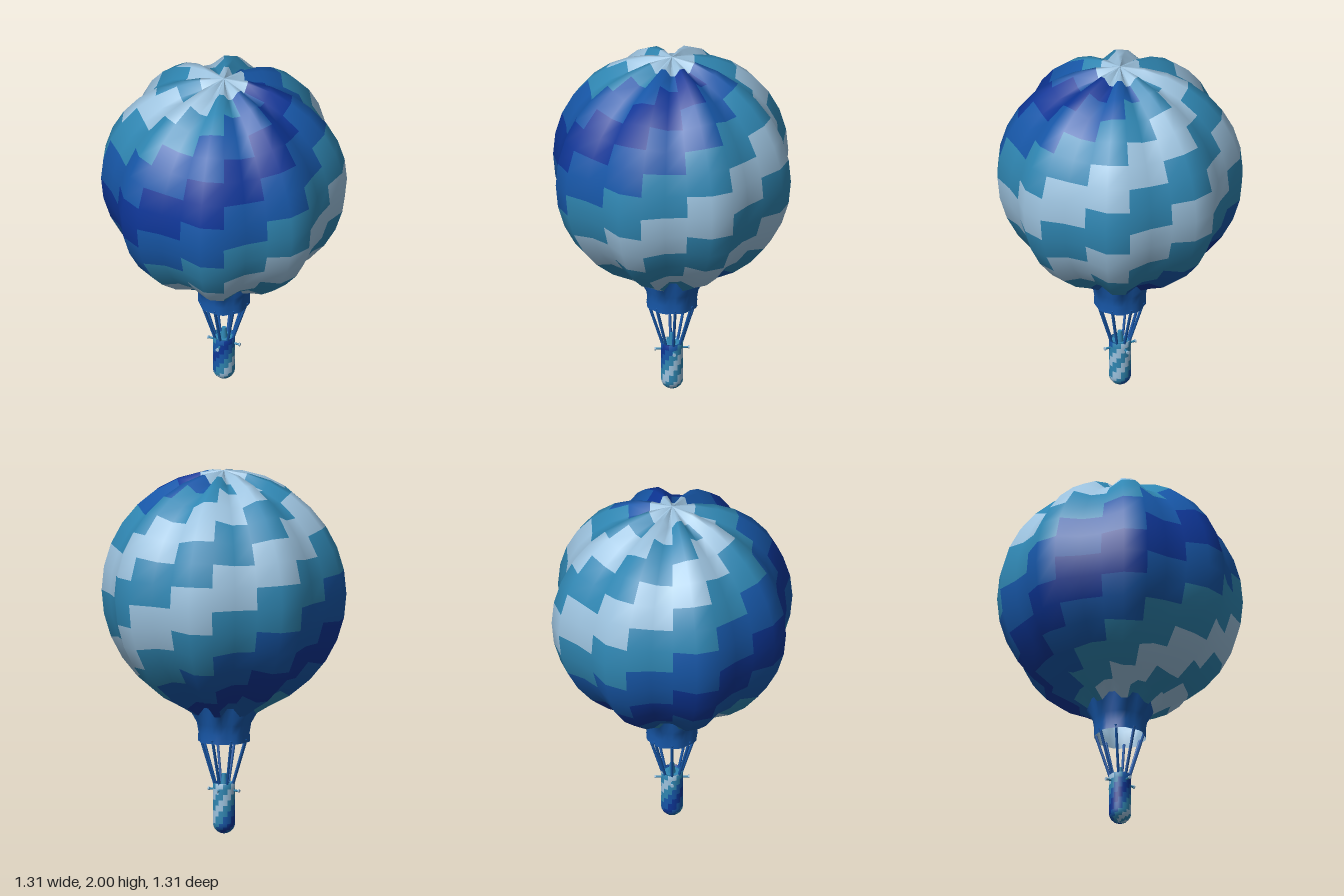
import * as THREE from 'three';

const LIGHT = 0x9cc2de, TEAL = 0x2f86b2, MID = 0x1757a8, DARK = 0x0d3596;
const BANDS = [DARK, MID, TEAL, LIGHT, TEAL, LIGHT, TEAL, MID];
const SEG = 32;
const mat = (color, side = THREE.DoubleSide) => new THREE.MeshStandardMaterial({ color, side });

// Staircase pattern: bands two columns wide, moving one column per row
const bandColor = (row, col) => BANDS[Math.floor(((((col - 7 + row + 2) % 16) + 16) % 16) / 2)];

// Skin through rings [radius, height]; ripple(ring, angle) shifts them; one mesh per colour
function panelSkin(name, rings, ripple, colorAt, side) {
  const group = new THREE.Group();
  group.name = name;
  const pos = [], all = [], byColor = new Map();
  rings.forEach((ring, i) => {
    for (let s = 0; s < SEG; s++) {
      const t = (s / SEG) * Math.PI * 2;
      const [r, y] = ripple(ring, t, i);
      pos.push(r * Math.sin(t), y, r * Math.cos(t));
    }
  });
  for (let i = 0; i < rings.length - 1; i++) {
    for (let s = 0; s < SEG; s++) {
      const a = i * SEG + s, b = i * SEG + (s + 1) % SEG, c = a + SEG, d = b + SEG;
      const color = colorAt(i, Math.floor(s / 2));
      if (!byColor.has(color)) byColor.set(color, []);
      byColor.get(color).push(a, c, b, b, c, d);
      all.push(a, c, b, b, c, d);
    }
  }
  // Normals come from the whole skin so shading runs across colour edges
  const whole = new THREE.BufferGeometry();
  whole.setAttribute('position', new THREE.Float32BufferAttribute(pos, 3));
  whole.setIndex(all);
  whole.computeVertexNormals();
  for (const [color, index] of byColor) {
    const geo = new THREE.BufferGeometry();
    geo.setAttribute('position', whole.attributes.position);
    geo.setAttribute('normal', whole.attributes.normal);
    geo.setIndex(index);
    const mesh = new THREE.Mesh(geo, mat(color, side));
    mesh.name = name + 'Panels';
    group.add(mesh);
  }
  return group;
}

// Straight round bar between two points
function bar(name, from, to, radius, color) {
  const dir = to.clone().sub(from);
  const mesh = new THREE.Mesh(new THREE.CylinderGeometry(radius, radius, dir.length(), 6), mat(color));
  mesh.position.copy(from).add(to).multiplyScalar(0.5);
  mesh.quaternion.setFromUnitVectors(new THREE.Vector3(0, 1, 0), dir.normalize());
  mesh.name = name;
  return mesh;
}

export function createModel() {
  const model = new THREE.Group();
  model.name = 'hotAirBalloon';
  const centreY = 1.33, R = 0.645;
  const lobe = t => Math.cos(8 * t + Math.PI * 1.25);

  // Envelope: lobed ball
  const rings = [[0, 2]];
  for (let k = 7; k >= -6; k--) {
    const lat = k * Math.PI / 16;
    rings.push([R * Math.cos(lat), centreY + R * Math.sin(lat)]);
  }
  rings.push([0.175, 0.69]);
  const ballRipple = ([r, y], t, i) => {
    if (i === 0) return [r, y];
    const s = 1 + 0.049 * lobe(t);
    return [r * s, centreY + (y - centreY) * s];
  };
  model.add(panelSkin('envelope', rings, ballRipple, (i, c) => (i === 0 ? LIGHT : bandColor(i, c))));

  // Neck: starts on the scalloped lower edge and becomes round; light lining inside
  const neck = [[0.175, 0.69], [0.145, 0.61], [0.137, 0.56], [0.139, 0.51]];
  const neckRipple = (ring, t, i) => (i === 0 ? ballRipple(ring, t, 1)
    : [ring[0] * (1 + 0.03 * lobe(t)), ring[1]]);
  model.add(panelSkin('neck', neck, neckRipple, () => MID, THREE.FrontSide));
  model.add(panelSkin('neckLining', neck, neckRipple, () => LIGHT, THREE.BackSide));

  // Basket: capsule with the same pattern
  const basketR = 0.061;
  const hull = [[basketR - 0.01, 0.262], [basketR - 0.008, 0.28], [basketR, 0.28]];
  for (let y = 0.25; y > 0.08; y -= 0.03) hull.push([basketR, y]);
  for (let k = 0; k <= 5; k++) {
    const a = k * Math.PI / 10;
    hull.push([basketR * Math.cos(a), basketR * (1 - Math.sin(a))]);
  }
  model.add(panelSkin('basket', hull, ring => ring, (i, c) => bandColor(i + 2, c)));

  const deck = new THREE.Mesh(new THREE.CylinderGeometry(0.053, 0.053, 0.01, SEG), mat(TEAL));
  deck.position.y = 0.264;
  deck.name = 'basketDeck';
  model.add(deck);

  // Burner on the deck
  const burner = new THREE.Mesh(new THREE.CylinderGeometry(0.012, 0.02, 0.065, 12), mat(TEAL));
  burner.position.y = 0.298;
  burner.name = 'burner';
  model.add(burner);

  // Ropes from neck to basket
  const at = (r, y, t) => new THREE.Vector3(r * Math.sin(t), y, r * Math.cos(t));
  for (let i = 0; i < 8; i++) {
    const t = i * Math.PI / 4;
    model.add(bar('rope', at(0.133, 0.53, t), at(0.052, 0.27, t), 0.008, MID));
  }

  // Four pegs with end knobs around the basket
  for (let i = 0; i < 4; i++) {
    const t = i * Math.PI / 2;
    model.add(bar('peg', at(0.05, 0.24, t), at(0.093, 0.24, t), 0.006, TEAL));
    model.add(bar('pegKnob', at(0.088, 0.24, t), at(0.096, 0.24, t), 0.01, LIGHT));
  }
  return model;
}
